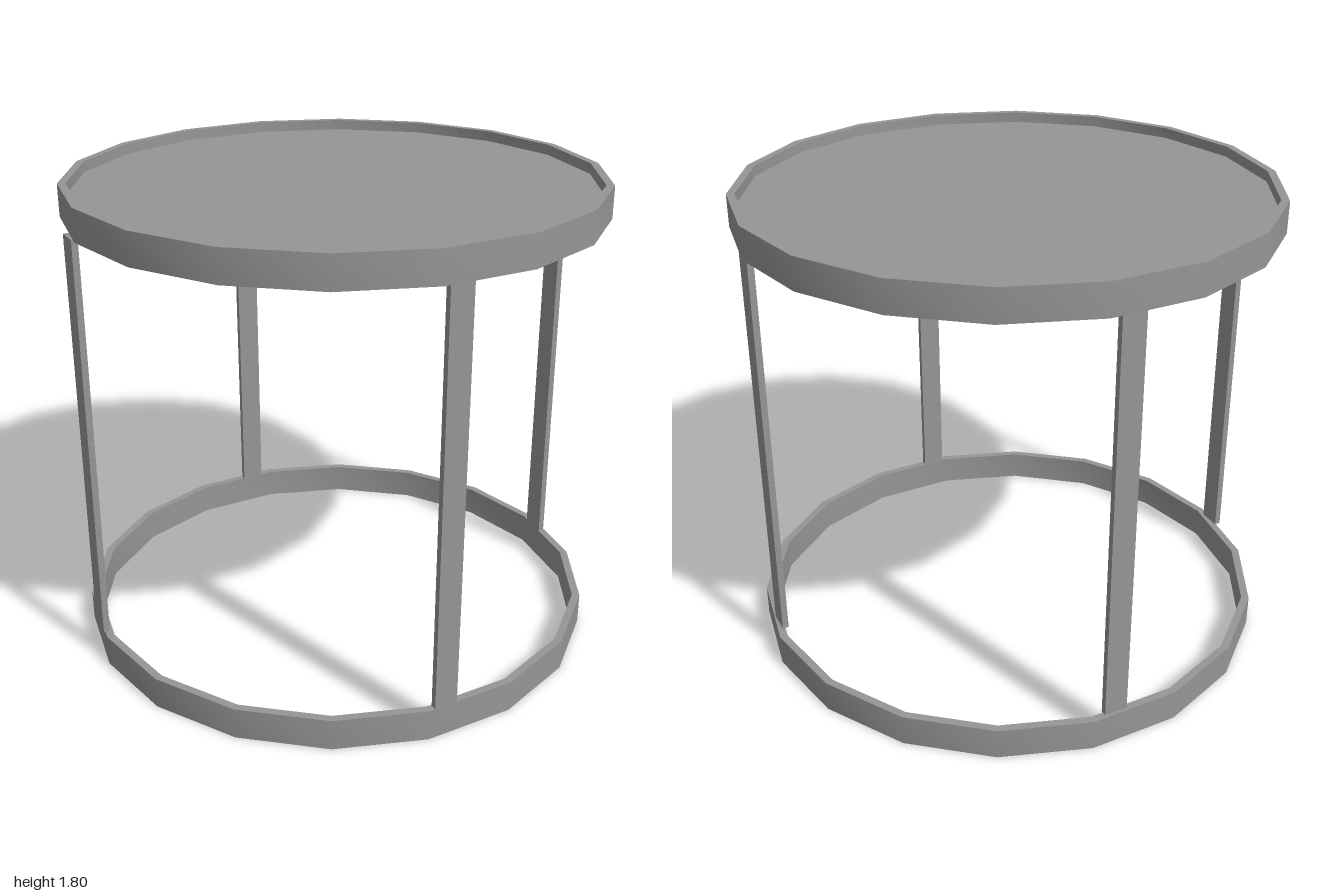
import * as THREE from 'three';
import { toCreasedNormals } from 'three/addons/utils/BufferGeometryUtils.js';

const SIDES = 18;
const OUTER = 1, INNER = 0.97, BAND = 0.12, HEIGHT = 1.8;

export function createModel() {
  const metal = new THREE.MeshStandardMaterial({ color: 0x969696 });
  metal.name = 'grey metal';
  const table = new THREE.Group();
  table.name = 'sideTable';

  function add(name, geometry, x, y, z) {
    const mesh = new THREE.Mesh(geometry, metal);
    mesh.name = name;
    mesh.position.set(x, y, z);
    table.add(mesh);
    return mesh;
  }

  // Flat band bent into a hoop, used for the base and the rim of the top
  const profile = [[OUTER, 0], [OUTER, BAND], [INNER, BAND], [INNER, 0], [OUTER, 0]]
    .map(([r, y]) => new THREE.Vector2(r, y));
  const hoop = toCreasedNormals(new THREE.LatheGeometry(profile, SIDES), 0.6);
  add('baseRing', hoop, 0, 0, 0);
  add('topRim', hoop, 0, HEIGHT - BAND, 0);

  // Table top, set a little below the edge of its rim
  add('tableTop', new THREE.CylinderGeometry(INNER, INNER, 0.04, SIDES), 0, 1.74, 0);

  // Four flat bars between the hoops, turned nearly square to the rim
  const bar = new THREE.BoxGeometry(0.09, HEIGHT - 2 * BAND, 0.024);
  const posts = [
    ['frontLeftPost', 0.678, 0.704, 45],
    ['backLeftPost', 0.688, -0.675, 135],
    ['backRightPost', -0.688, -0.675, 225],
    ['frontRightPost', -0.697, 0.704, 315],
  ];
  for (const [name, x, z, angle] of posts) {
    add(name, bar, x, HEIGHT / 2, z).rotation.y = THREE.MathUtils.degToRad(angle + 4);
  }

  return table;
}
